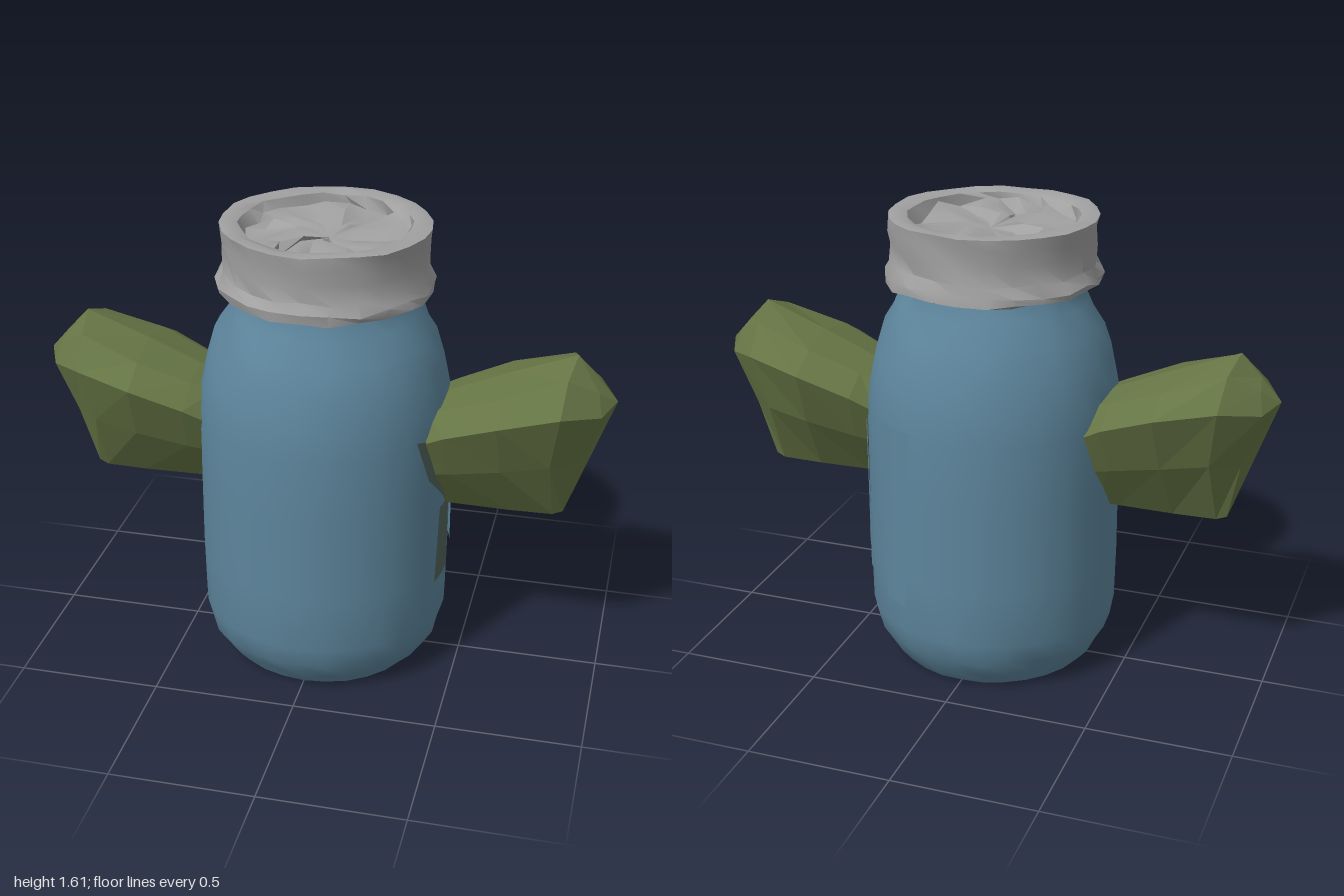
import * as THREE from 'three';
import { mergeVertices, toCreasedNormals } from 'three/addons/utils/BufferGeometryUtils.js';

const mat = (name, color, extra = {}) => new THREE.MeshStandardMaterial({ name, color, ...extra });

// Repeatable noise in -1..1 from an integer seed
function noise(i) {
  const s = Math.sin(i * 127.1 + 3.7) * 43758.5453;
  return (s - Math.floor(s)) * 2 - 1;
}

// Turned body whose vertices are roughened by amount(y, radius)
function roughLathe(profile, segments, amount, crease) {
  const lathe = new THREE.LatheGeometry(profile.map(p => new THREE.Vector2(...p)), segments);
  lathe.deleteAttribute('uv');
  lathe.deleteAttribute('normal');
  const geo = mergeVertices(lathe, 1e-4);
  const pos = geo.attributes.position;
  for (let i = 0; i < pos.count; i++) {
    const x = pos.getX(i), y = pos.getY(i), z = pos.getZ(i);
    const a = amount(y, Math.hypot(x, z));
    pos.setXYZ(i, x + a * noise(i * 3), y + a * noise(i * 3 + 1), z + a * noise(i * 3 + 2));
  }
  return toCreasedNormals(geo, crease);
}

// Faceted fin: cross-sections mirrored in z, stacked outward along x
function finGeometry(side) {
  // each row: top, upper slope, widest point, lower flank, keel as [x, y, z]
  const rows = [
    [[0.37, 1.01, 0], [0.37, 1.0, 0.1], [0.37, 0.92, 0.2], [0.38, 0.78, 0.14], [0.40, 0.62, 0.03]],
    [[0.45, 1.05, 0], [0.45, 1.03, 0.13], [0.45, 0.97, 0.235], [0.46, 0.8, 0.16], [0.47, 0.62, 0.03]],
    [[0.64, 1.13, 0], [0.63, 1.1, 0.16], [0.63, 1.04, 0.27], [0.64, 0.84, 0.18], [0.66, 0.62, 0.035]],
    [[0.86, 1.215, 0], [0.84, 1.17, 0.12], [0.83, 1.07, 0.215], [0.8, 0.86, 0.15], [0.81, 0.62, 0.03]],
    [[0.93, 1.14, 0], [0.94, 1.11, 0.06], [0.955, 1.04, 0.1], [0.89, 0.84, 0.06], [0.845, 0.63, 0.02]],
  ];
  const rings = rows.map(r => [...r, ...r.slice(1).reverse().map(([x, y, z]) => [x, y, -z])]);
  const n = rings[0].length, pos = [], index = [];
  rings.forEach(r => r.forEach(([x, y, z]) => pos.push(x * side, y, z)));
  const tri = (a, b, c) => (side > 0 ? index.push(a, b, c) : index.push(a, c, b));
  const inner = pos.length / 3, tip = inner + 1;
  pos.push(0.37 * side, 0.82, 0, 1.0 * side, 1.06, 0);
  for (let j = 0; j < n; j++) {
    const k = (j + 1) % n;
    for (let i = 0; i < rings.length - 1; i++) {
      tri(i * n + j, i * n + k, (i + 1) * n + k);
      tri(i * n + j, (i + 1) * n + k, (i + 1) * n + j);
    }
    tri(inner, k, j);
    tri(tip, (rings.length - 1) * n + j, (rings.length - 1) * n + k);
  }
  const geo = new THREE.BufferGeometry();
  geo.setAttribute('position', new THREE.Float32BufferAttribute(pos, 3));
  geo.setIndex(index);
  const flat = geo.toNonIndexed();
  flat.computeVertexNormals();
  return flat;
}

// Thin patch wrapped round the jar wall; corners are [angle from +z, y]
function wallPatch(corners, radius) {
  const geo = new THREE.BufferGeometry(), pos = [], index = [], steps = 6;
  const [a, b, c, d] = corners;
  const lerp = THREE.MathUtils.lerp;
  for (let i = 0; i <= steps; i++) {
    const t = i / steps;
    for (const [p, q] of [[a, b], [d, c]]) {
      const ang = lerp(p[0], q[0], t);
      pos.push(Math.sin(ang) * radius, lerp(p[1], q[1], t), Math.cos(ang) * radius);
    }
    if (i < steps) index.push(i * 2, i * 2 + 2, i * 2 + 3, i * 2, i * 2 + 3, i * 2 + 1);
  }
  geo.setAttribute('position', new THREE.Float32BufferAttribute(pos, 3));
  geo.setIndex(index);
  geo.computeVertexNormals();
  return geo;
}

export function createModel() {
  const group = new THREE.Group();
  const blue = mat('jar blue', 0x5d859c, { side: THREE.DoubleSide });
  const grey = mat('lid grey', 0xa0a0a0);
  const green = mat('fin green', 0x667545);
  const stain = mat('stain green', 0x4f6358, { side: THREE.DoubleSide });
  const add = (name, geo, material) => {
    const mesh = new THREE.Mesh(geo, material);
    mesh.name = name;
    group.add(mesh);
  };

  // Jar with a hollow underside, sloping shoulder and short neck
  const jar = [[0, 0.05], [0.15, 0.05], [0.26, 0.045], [0.29, 0.01], [0.345, 0.008], [0.385, 0.06],
    [0.42, 0.12], [0.438, 0.2], [0.44, 0.4], [0.44, 0.7], [0.44, 0.93], [0.43, 1.03], [0.408, 1.14],
    [0.37, 1.24], [0.325, 1.32], [0.3, 1.37], [0.29, 1.42]];
  const jarRough = y => (y > 1.2 ? 0.008 : y > 0.03 && y < 0.15 ? 0.007 : 0.0015);
  add('jar', roughLathe(jar, 28, jarRough, 0.7), blue);

  // Crumpled lid with a flared lower bead and a sunken top
  const lid = [[0.28, 1.39], [0.34, 1.385], [0.368, 1.39], [0.37, 1.42], [0.35, 1.455], [0.347, 1.51],
    [0.352, 1.57], [0.357, 1.612], [0.325, 1.616], [0.29, 1.607], [0.272, 1.575], [0.2, 1.57],
    [0.1, 1.565], [0, 1.57]];
  const lidRough = (y, r) => (r < 0.28 && y > 1.5 ? 0.022 : y > 1.6 ? 0.004 : 0.008);
  add('lid', roughLathe(lid, 24, lidRough, 0.6), grey);

  // Pair of fins
  add('leftFin', finGeometry(1), green);
  add('rightFin', finGeometry(-1), green);

  // Stain below the left fin and around its root
  add('stainStreak', wallPatch([[1.27, 0.35], [1.57, 0.36], [1.55, 0.64], [1.33, 0.64]], 0.443), stain);
  add('stainFront', wallPatch([[1.14, 0.78], [1.42, 0.66], [1.42, 0.9], [0.98, 0.95]], 0.443), stain);
  add('stainBack', wallPatch([[1.68, 0.62], [1.95, 0.76], [2.05, 0.86], [1.7, 0.86]], 0.443), stain);

  // Shallow peeling shards on the wall
  add('sideShard', wallPatch([[1.7, 0.41], [1.95, 0.4], [1.87, 0.6], [1.78, 0.6]], 0.447), blue);
  add('longShard', wallPatch([[2.13, 0.35], [2.2, 0.35], [2.1, 0.9], [1.98, 0.9]], 0.447), blue);
  add('backShard', wallPatch([[2.5, 0.3], [2.72, 0.3], [2.8, 0.95], [2.45, 0.95]], 0.446), blue);
  return group;
}
